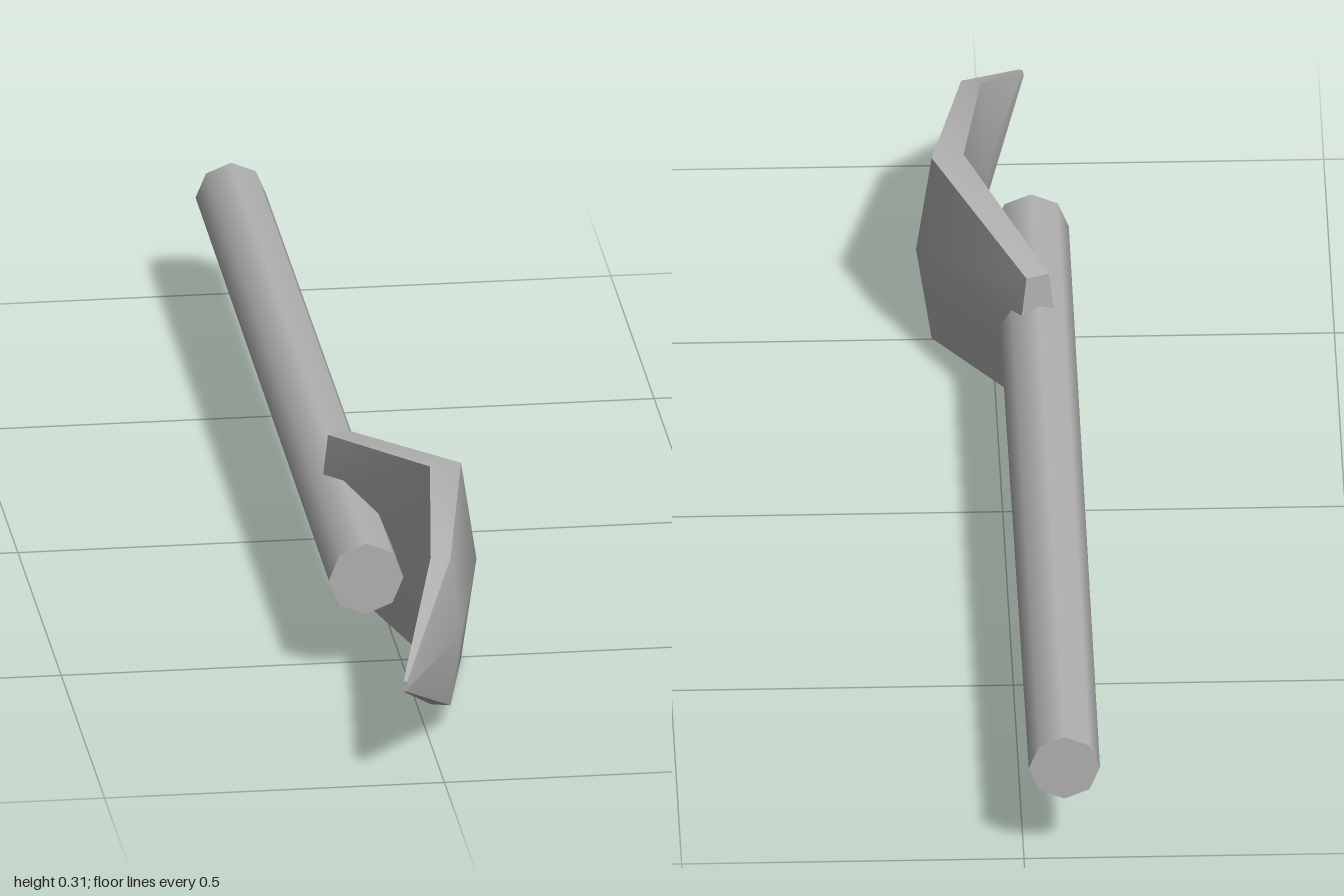
import * as THREE from 'three';
import { mergeVertices, toCreasedNormals } from 'three/addons/utils/BufferGeometryUtils.js';

const CENTER_Y = 0.153;

// Each section: half height, then [x, z] at the inner ridge, inner edge, outer edge, outer ridge
const SECTIONS = [
  { h: 0.105, inner: [-0.088, 0.25], innerEdge: [-0.075, 0.245], outerEdge: [-0.042, 0.232], outer: [-0.03, 0.226] },
  { h: 0.1525, inner: [0.022, 0.515], innerEdge: [0.041, 0.512], outerEdge: [0.088, 0.503], outer: [0.111, 0.5] },
  { h: 0.115, inner: [-0.008, 0.776], innerEdge: [0.008, 0.78], outerEdge: [0.036, 0.788], outer: [0.052, 0.792] },
  { h: 0.008, inner: [-0.062, 0.997], innerEdge: [-0.06, 0.998], outerEdge: [-0.055, 1], outer: [-0.053, 1] },
];

// Bent blade lofted through six-sided sections
function bladeGeometry() {
  const positions = [];
  const index = [];
  for (const { h, inner, innerEdge, outerEdge, outer } of SECTIONS) {
    const ring = [[outer, 0], [outerEdge, h], [innerEdge, h], [inner, 0], [innerEdge, -h], [outerEdge, -h]];
    for (const [[x, z], y] of ring) positions.push(x, CENTER_Y + y, z);
  }
  const n = 6;
  const last = (SECTIONS.length - 1) * n;
  for (let i = 0; i < SECTIONS.length - 1; i++) {
    for (let j = 0; j < n; j++) {
      const a = i * n + j;
      const b = i * n + (j + 1) % n;
      index.push(a, b, a + n, b, b + n, a + n);
    }
  }
  // End caps
  for (let j = 1; j < n - 1; j++) {
    index.push(0, j + 1, j);
    index.push(last, last + j, last + j + 1);
  }
  const geometry = new THREE.BufferGeometry();
  geometry.setAttribute('position', new THREE.Float32BufferAttribute(positions, 3));
  geometry.setIndex(index);
  return toCreasedNormals(mergeVertices(geometry), 0.8);
}

export function createModel() {
  const group = new THREE.Group();
  group.name = 'spadeTool';
  const grey = new THREE.MeshStandardMaterial({ color: 0xb2b2b2 });
  grey.name = 'plain grey';

  // Eight-sided shaft, slightly thicker at the blade end
  const shaft = new THREE.CylinderGeometry(0.055, 0.052, 1.56, 8);
  shaft.rotateX(Math.PI / 2);
  const handle = new THREE.Mesh(shaft, grey);
  handle.name = 'handle';
  handle.position.set(-0.059, CENTER_Y, -0.22);
  group.add(handle);

  const blade = new THREE.Mesh(bladeGeometry(), grey);
  blade.name = 'blade';
  group.add(blade);
  return group;
}
